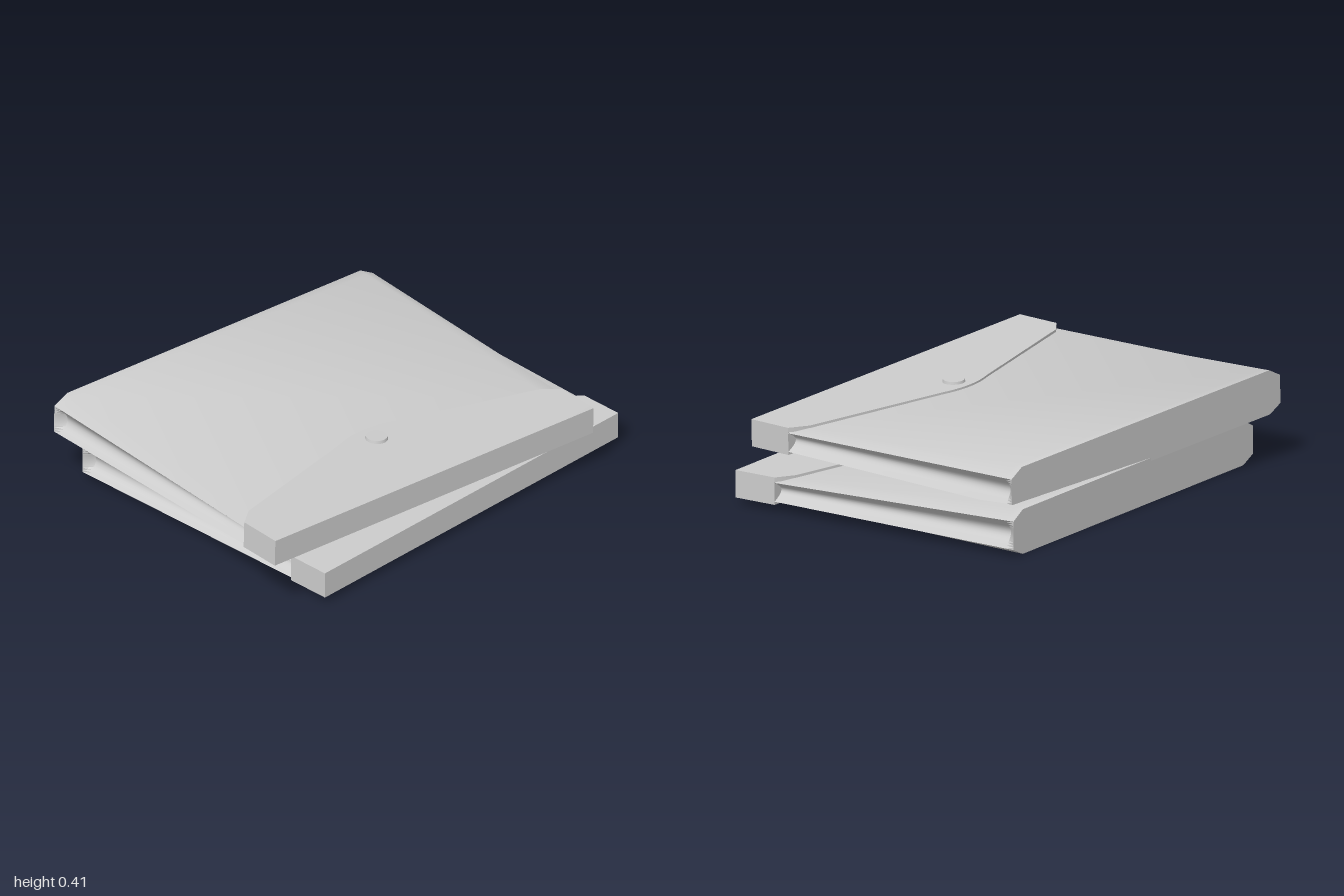
import * as THREE from 'three';
import { toCreasedNormals } from 'three/addons/utils/BufferGeometryUtils.js';

const material = new THREE.MeshStandardMaterial({ color: 0xcccccc });
const HALF = 0.885; // half width
const FRONT = 0.51, BACK = -0.71;

// Cross-section at depth z: bevelled slab with concave pleated sides
function section(z, recess) {
  const t = (FRONT - z) / (FRONT - BACK);
  const mix = (a, b) => a + (b - a) * t;
  const yb = mix(0.03, 0), yt = mix(0.138, 0.195);
  const lo = yb + mix(0.014, 0.033), hi = yt - mix(0.012, 0.038);
  const right = [[HALF - 0.07, yb]];
  const n = 12;
  for (let i = 0; i <= n; i++) {
    const s = i / n;
    right.push([HALF - recess * Math.sin(Math.PI * s), lo + (hi - lo) * s]);
  }
  right.push([HALF - 0.07, yt]);
  const left = right.map(([x, y]) => [-x, y]).reverse();
  return [...right, ...left].map(([x, y]) => [x, y, z]);
}

// Loft the sections from front to back, then close both ends
function bodyGeometry() {
  const rings = [section(0.58, 0.05), section(FRONT, 0.05), section(-0.67, 0.04), section(BACK, 0)];
  const n = rings[0].length, pos = [];
  const tri = (...p) => p.forEach((v) => pos.push(...v));
  for (let r = 0; r < rings.length - 1; r++) {
    const a = rings[r], b = rings[r + 1];
    for (let j = 0; j < n; j++) {
      const k = (j + 1) % n;
      tri(a[j], b[j], b[k]);
      tri(a[j], b[k], a[k]);
    }
  }
  const first = rings[0], last = rings[rings.length - 1];
  for (let j = 0; j < n; j++) {
    const k = (j + 1) % n;
    tri([0, 0.09, 0.58], first[j], first[k]);
    tri([0, 0.09, BACK], last[k], last[j]);
  }
  const g = new THREE.BufferGeometry();
  g.setAttribute('position', new THREE.Float32BufferAttribute(pos, 3));
  return toCreasedNormals(g, 0.5);
}

// Thin closing flap with a pointed, softly rounded edge
function flapGeometry() {
  const s = new THREE.Shape();
  // shape y is -z, so the extrusion runs upward after rotation
  s.moveTo(-HALF, -0.71);
  s.lineTo(HALF, -0.71);
  s.lineTo(HALF, -0.51);
  s.lineTo(0.81, -0.452);
  s.lineTo(0.15, -0.28);
  s.quadraticCurveTo(0, -0.225, -0.15, -0.28);
  s.lineTo(-0.81, -0.452);
  s.lineTo(-HALF, -0.51);
  s.closePath();
  const g = new THREE.ExtrudeGeometry(s, { depth: 0.02, bevelEnabled: false, curveSegments: 8 });
  g.rotateX(-Math.PI / 2);
  g.translate(0, 0.13, 0);
  // lift the tongue to follow the rising cover
  const p = g.attributes.position;
  for (let i = 0; i < p.count; i++) {
    const lift = Math.max(0, FRONT - p.getZ(i)) * 0.035;
    p.setY(i, p.getY(i) + lift);
  }
  g.computeVertexNormals();
  return toCreasedNormals(g, 0.5);
}

function part(parent, name, geometry, x = 0, y = 0, z = 0) {
  const mesh = new THREE.Mesh(geometry, material);
  mesh.name = name;
  mesh.position.set(x, y, z);
  parent.add(mesh);
}

function folder(name) {
  const g = new THREE.Group();
  g.name = name;
  part(g, 'pleatedBody', bodyGeometry());
  part(g, 'frontFold', new THREE.BoxGeometry(HALF * 2, 0.11, 0.2), 0, 0.085, 0.61);
  part(g, 'closingFlap', flapGeometry());
  part(g, 'snapButton', new THREE.CylinderGeometry(0.046, 0.05, 0.02, 32), 0, 0.159, 0.337);
  return g;
}

export function createModel() {
  const model = new THREE.Group();
  model.name = 'documentFolders';

  const lower = folder('lowerFolder');
  lower.position.x = 0.112;

  // Upper folder lies askew on the lower one
  const upper = folder('upperFolder');
  upper.position.set(-0.052, 0.185, 0);
  upper.rotation.set(-0.007, -0.087, -0.037, 'YXZ');

  model.add(lower, upper);
  return model;
}
